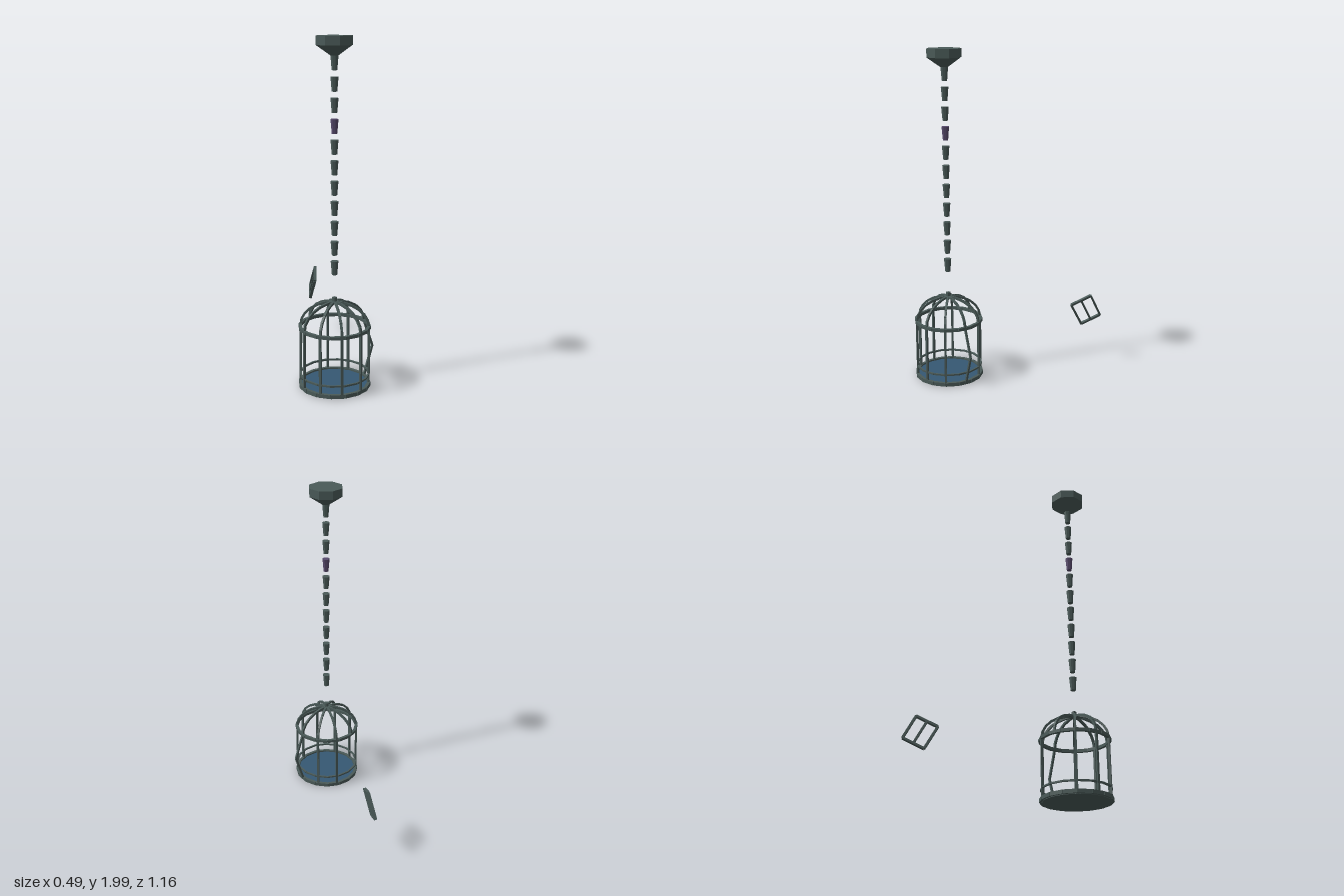
import * as THREE from 'three';

const metal = new THREE.MeshStandardMaterial({ color: 0x4a5a58 });
metal.name = 'dark metal';
const blue = new THREE.MeshStandardMaterial({ color: 0x365873 });
blue.name = 'blue floor';
const purple = new THREE.MeshStandardMaterial({ color: 0x574a6c });
purple.name = 'purple metal';
for (const material of [metal, blue, purple]) material.flatShading = true;

const UP = new THREE.Vector3(0, 1, 0);

function add(parent, name, geometry, material = metal) {
  const mesh = new THREE.Mesh(geometry, material);
  mesh.name = name;
  parent.add(mesh);
  return mesh;
}

// Straight rod between two points, its depth d turned towards up
function rod(parent, name, a, b, w, d = w, up = UP) {
  const mesh = add(parent, name, new THREE.BoxGeometry(w, d, a.distanceTo(b)));
  mesh.position.copy(a).add(b).multiplyScalar(0.5);
  mesh.quaternion.setFromRotationMatrix(new THREE.Matrix4().lookAt(a, b, up));
}

// Point at an angle, radius and height around the cage axis
const polar = (angle, r, y) => new THREE.Vector3(Math.cos(angle) * r, y, -Math.sin(angle) * r);

function group(parent, name) {
  const g = new THREE.Group();
  g.name = name;
  parent.add(g);
  return g;
}

// Sixteen straight pieces laid end to end
function ring(parent, name, r, y, w, h) {
  const g = group(parent, name);
  const n = 16;
  for (let i = 0; i < n; i++) {
    const a = (i / n) * Math.PI * 2;
    rod(g, 'ringPiece', polar(a, r, y), polar(a + (Math.PI * 2) / n, r, y), w, h);
  }
}

function buildCage(parent) {
  const cage = group(parent, 'cage');

  // Base plate and floor
  add(cage, 'basePlate', new THREE.CylinderGeometry(0.195, 0.195, 0.012, 16)).position.y = 0.012;
  add(cage, 'floor', new THREE.CylinderGeometry(0.192, 0.192, 0.004, 16), blue).position.y = 0.02;

  ring(cage, 'bottomRing', 0.199, 0.02, 0.018, 0.022);
  ring(cage, 'lowerRing', 0.198, 0.08, 0.01, 0.01);
  ring(cage, 'upperRing', 0.199, 0.365, 0.018, 0.018);

  // Bars and dome ribs: one bar is bent, one is missing at the door opening
  for (let i = 0; i < 10; i++) {
    const a = (i / 10) * Math.PI * 2;
    const outward = polar(a, 1, 0);
    const top = polar(a, 0.197, 0.365);
    const foot = polar(a, 0.197, 0.012);
    if (i === 1) {
      const bend = polar(a, 0.256, 0.2);
      rod(cage, 'bentBar', top, bend, 0.012, 0.012, outward);
      rod(cage, 'bentBar', bend, foot, 0.012, 0.012, outward);
    } else if (i !== 4) {
      rod(cage, 'bar', foot, top, 0.013, 0.013, outward);
    }
    const rib = group(cage, 'domeRib');
    const steps = 6;
    let previous = top;
    for (let k = 1; k <= steps; k++) {
      const t = (k / steps) * Math.PI / 2;
      const next = polar(a, 0.197 * Math.cos(t), 0.365 + 0.145 * Math.sin(t));
      rod(rib, 'ribPiece', previous, next, 0.013, 0.013, outward);
      previous = next;
    }
  }
  add(cage, 'knob', new THREE.CylinderGeometry(0.014, 0.014, 0.035, 8)).position.y = 0.521;
}

function buildChain(parent) {
  const chain = group(parent, 'chain');

  // Ceiling mount, flat sides facing the axes
  const plate = add(chain, 'ceilingPlate', new THREE.CylinderGeometry(0.104, 0.104, 0.05, 8));
  const cone = add(chain, 'ceilingCone', new THREE.CylinderGeometry(0.104, 0.024, 0.055, 8));
  plate.position.y = 1.975;
  cone.position.y = 1.9225;
  plate.rotation.y = cone.rotation.y = Math.PI / 8;

  // Tapered links
  for (let i = 0; i < 11; i++) {
    const link = add(chain, 'link', new THREE.CylinderGeometry(0.023, 0.016, 0.08, 8),
      i === 3 ? purple : metal);
    link.position.y = 1.856 - i * 0.1145;
    link.rotation.y = Math.PI / 8;
  }
}

// Loose door tumbling behind the cage
function buildDoor(parent) {
  const door = group(parent, 'door');
  const corners = [
    [-0.18, 0.391, -0.382], [-0.193, 0.451, -0.504],
    [-0.233, 0.312, -0.567], [-0.22, 0.253, -0.448],
  ].map((p) => new THREE.Vector3(...p));
  const edge = (i, j) => corners[j].clone().sub(corners[i]);
  const mid = (i, j) => corners[i].clone().lerp(corners[j], 0.5);
  const normal = edge(0, 1).cross(edge(1, 2)).normalize();
  corners.forEach((c, i) => rod(door, 'doorFrame', c, corners[(i + 1) % 4], 0.013, 0.018, normal));
  rod(door, 'doorBar', mid(0, 1), mid(2, 3), 0.012, 0.016, normal);
}

export function createModel() {
  const model = new THREE.Group();
  model.name = 'hangingCage';
  const hanging = group(model, 'hangingParts');
  hanging.position.set(0.028, 0, 0.374);
  buildCage(hanging);
  buildChain(hanging);
  buildDoor(model);
  return model;
}
